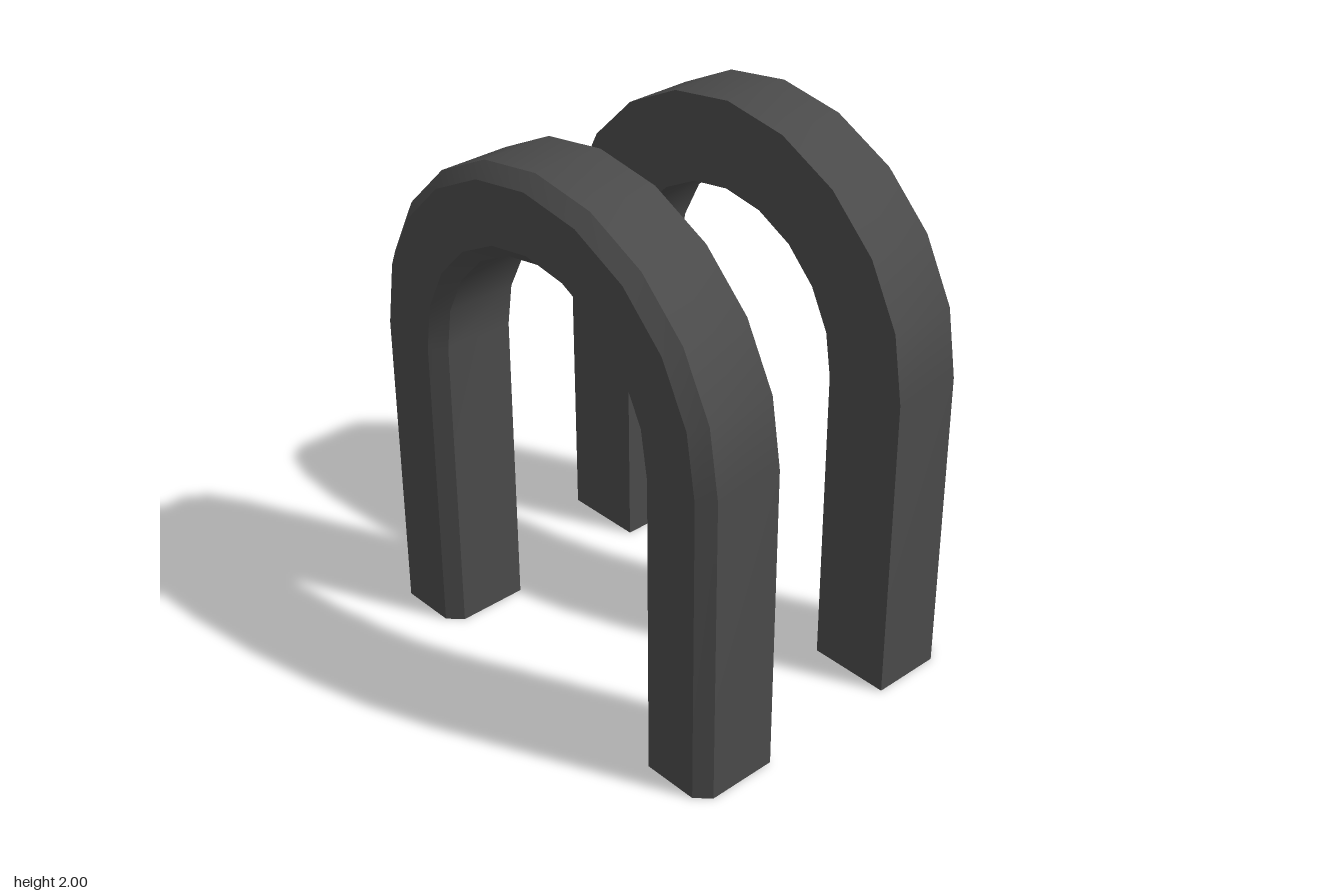
import * as THREE from 'three';

const rubber = new THREE.MeshStandardMaterial({ color: 0x4b4b4b, side: THREE.DoubleSide });
rubber.name = 'dark grey';

const ARC_STEPS = 10;

// Cross-section corners of a bar: leg half-width, spring height, arch rise, depth
const section = [
  { x: 0.825, y: 1.185, rise: 0.815, z: 0.28 },
  { x: 0.825, y: 1.185, rise: 0.815, z: 0.547 },
  { x: 0.775, y: 1.18, rise: 0.77, z: 0.597 },
  { x: 0.56, y: 1.16, rise: 0.57, z: 0.597 },
  { x: 0.51, y: 1.16, rise: 0.52, z: 0.547 },
  { x: 0.51, y: 1.16, rise: 0.52, z: 0.28 },
];

// Path of one corner: up the left leg, over the arch, down the right leg
function cornerPath({ x, y, rise, z }) {
  const path = [[x, 0, z]];
  for (let i = 0; i <= ARC_STEPS; i++) {
    const a = (Math.PI * i) / ARC_STEPS;
    path.push([x * Math.cos(a), y + rise * Math.sin(a), z]);
  }
  path.push([-x, 0, z]);
  return path;
}

// One band between neighbouring corners: smooth along the arch, sharp at its edges
function band(a, b) {
  const pa = cornerPath(a), pb = cornerPath(b), index = [];
  for (let i = 0; i < pa.length - 1; i++) {
    const n = pa.length + i;
    index.push(i, i + 1, n, i + 1, n + 1, n);
  }
  const geometry = new THREE.BufferGeometry();
  geometry.setAttribute('position', new THREE.Float32BufferAttribute([...pa, ...pb].flat(), 3));
  geometry.setIndex(index);
  geometry.computeVertexNormals();
  return geometry;
}

// Hollow arch, open under the feet, with its chamfers on the outward face
function arch(name) {
  const group = new THREE.Group();
  group.name = name;
  const names = ['outerWall', 'outerChamfer', 'face', 'innerChamfer', 'innerWall', 'flatBack'];
  section.forEach((corner, i) => {
    const mesh = new THREE.Mesh(band(corner, section[(i + 1) % section.length]), rubber);
    mesh.name = names[i];
    group.add(mesh);
  });
  return group;
}

export function createModel() {
  const model = new THREE.Group();
  model.name = 'archPair';
  const front = arch('frontArch');
  const back = arch('backArch');
  back.rotation.y = Math.PI;
  model.add(front, back);
  return model;
}
